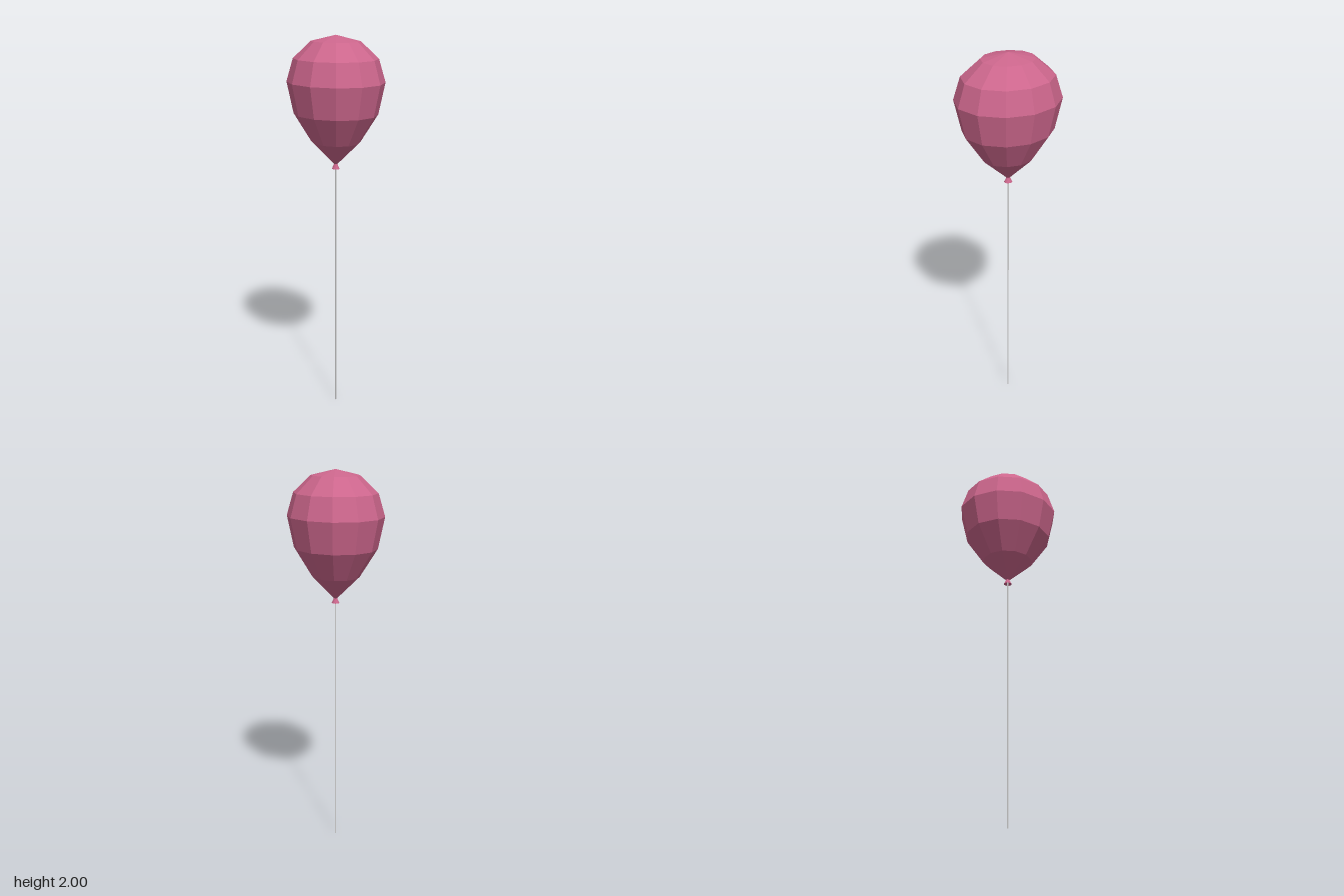
import * as THREE from 'three';

const SIDES = 12;
const X_SQUEEZE = 0.888; // the balloon is slightly narrower from side to side

// Faceted body of revolution from [radius, height] pairs, bottom to top
function turned(name, profile, material) {
  const points = profile.map(([r, y]) => new THREE.Vector2(r, y));
  const geometry = new THREE.LatheGeometry(points, SIDES);
  geometry.scale(X_SQUEEZE, 1, 1);
  const mesh = new THREE.Mesh(geometry, material);
  mesh.name = name;
  return mesh;
}

export function createModel() {
  const model = new THREE.Group();
  model.name = 'balloon';

  const rubber = new THREE.MeshStandardMaterial({ color: 0xcc668c, flatShading: true, side: THREE.DoubleSide });
  const grey = new THREE.MeshStandardMaterial({ color: 0xcccccc, flatShading: true });

  // Inflated teardrop body
  model.add(turned('balloonBody', [
    [0.009, 1.35], [0.136, 1.465], [0.235, 1.61], [0.272, 1.77],
    [0.235, 1.885], [0.136, 1.97], [0, 2],
  ], rubber));

  // Flared knot with a hollow underside
  model.add(turned('knot', [
    [0, 1.338], [0.022, 1.325], [0.012, 1.345], [0.009, 1.355],
  ], rubber));

  // Thin straight string
  const length = 1.34;
  const string = new THREE.Mesh(new THREE.CylinderGeometry(0.0035, 0.0035, length, 6), grey);
  string.position.y = length / 2;
  string.name = 'string';
  model.add(string);

  return model;
}
